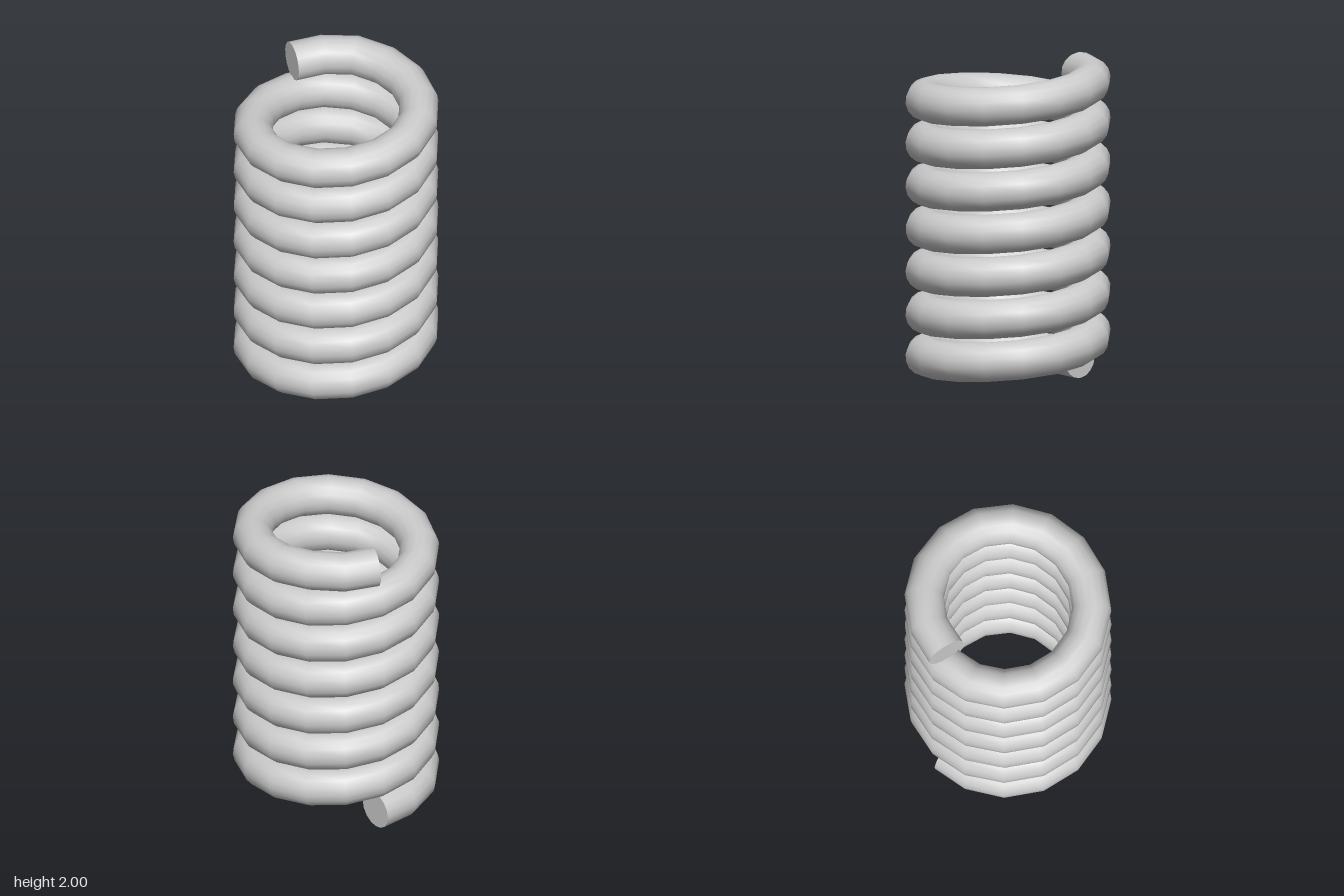
import * as THREE from 'three';

const TURNS = 7, STEPS = 16, SEGMENTS = TURNS * STEPS; // straight pieces per turn
const COIL_RADIUS = 0.504, WIRE_RADIUS = 0.119, SIDES = 16;
const FLAT = 2; // level pieces at each end
const RISE = (2 - 2 * WIRE_RADIUS) / (SEGMENTS - 2 * FLAT);

// Helix sampled as a polyline, starting at the back and rising past -x, front, +x
class CoilPath extends THREE.Curve {
  corner(i) {
    const a = (i / STEPS) * Math.PI * 2;
    const climb = THREE.MathUtils.clamp(i - FLAT, 0, SEGMENTS - 2 * FLAT);
    return new THREE.Vector3(-Math.sin(a) * COIL_RADIUS, WIRE_RADIUS + RISE * climb, -Math.cos(a) * COIL_RADIUS);
  }
  getPoint(t) {
    return this.corner(Math.round(t * SEGMENTS));
  }
  getPointAt(t) {
    return this.getPoint(t);
  }
  // Mitred at corners, square to the wire at both ends
  getTangentAt(t) {
    const i = Math.round(t * SEGMENTS);
    return this.corner(Math.min(i + 1, SEGMENTS)).sub(this.corner(Math.max(i - 1, 0))).normalize();
  }
}

export function createModel() {
  const group = new THREE.Group();
  group.name = 'coilSpring';
  const material = new THREE.MeshStandardMaterial({ color: 0xcccccc });

  // Coiled wire
  const path = new CoilPath();
  const tube = new THREE.TubeGeometry(path, SEGMENTS, WIRE_RADIUS, SIDES, false);
  const wire = new THREE.Mesh(tube, material);
  wire.name = 'coiledWire';
  group.add(wire);

  // Flat cut faces, facing outwards at both wire ends
  for (const [name, i, dir] of [['bottomEndCap', 0, -1], ['topEndCap', SEGMENTS, 1]]) {
    const cap = new THREE.Mesh(new THREE.CircleGeometry(WIRE_RADIUS, SIDES), material);
    const basis = new THREE.Matrix4().makeBasis(
      tube.normals[i],
      tube.binormals[i].clone().multiplyScalar(dir),
      tube.tangents[i].clone().multiplyScalar(dir)
    );
    cap.quaternion.setFromRotationMatrix(basis);
    cap.position.copy(path.corner(i));
    cap.name = name;
    group.add(cap);
  }
  return group;
}
